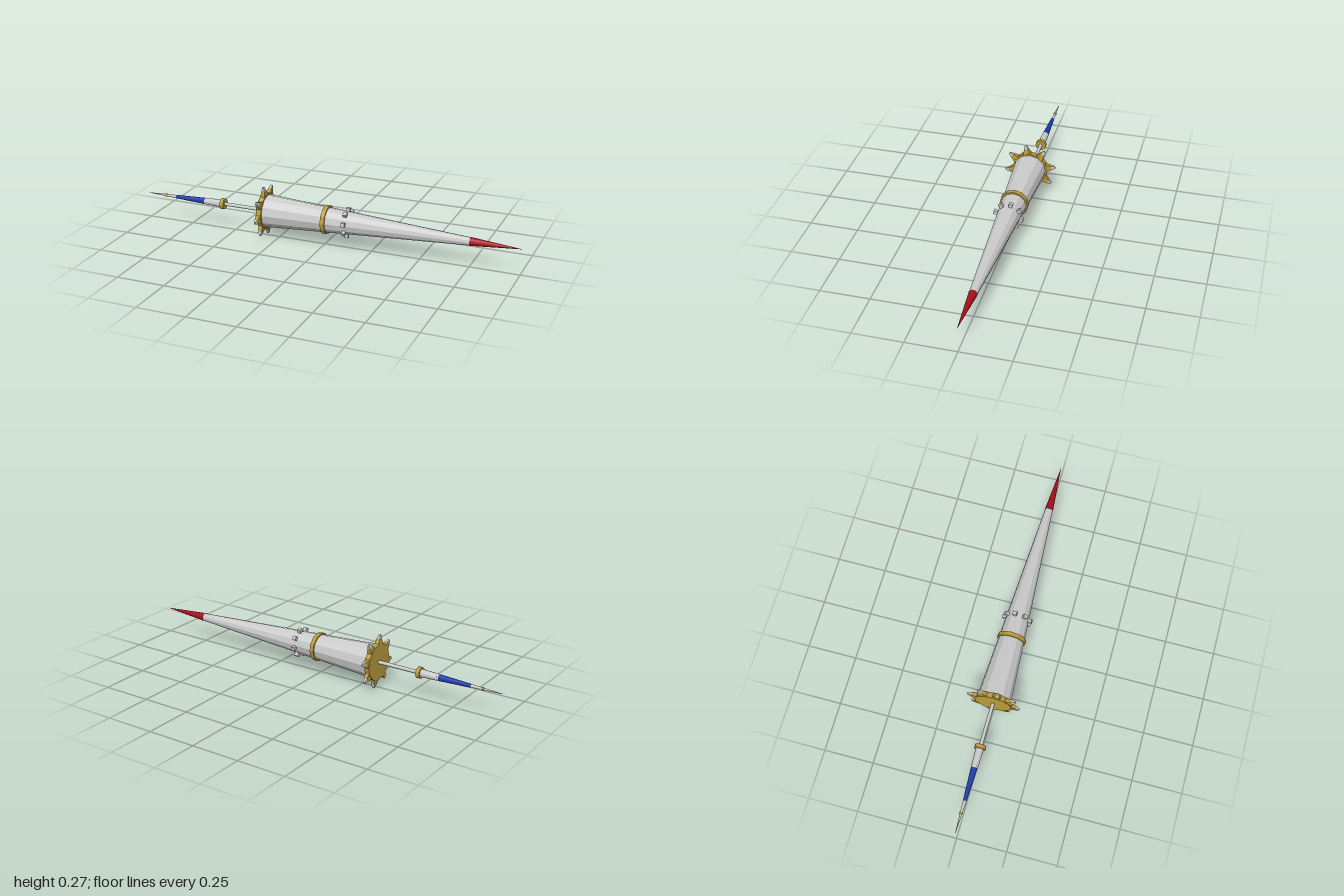
import * as THREE from 'three';

const material = (color) => new THREE.MeshStandardMaterial({ color, flatShading: true });
const grey = material(0xcccccc);
const gold = material(0xb89b3c);
const red = material(0xa50f1c);
const blue = material(0x1c3aa8);

export function createModel() {
  const model = new THREE.Group();
  model.name = 'lance';
  const body = new THREE.Group();
  body.name = 'lanceBody';
  body.position.y = 0.135;
  model.add(body);

  // Round section along x, from x0 (radius r0) to x1 (radius r1)
  function section(name, x0, x1, r0, r1, mat, sides = 12) {
    const geo = new THREE.CylinderGeometry(r1, r0, x1 - x0, sides);
    geo.rotateZ(-Math.PI / 2);
    const mesh = new THREE.Mesh(geo, mat);
    mesh.name = name;
    mesh.position.x = (x0 + x1) / 2;
    body.add(mesh);
  }

  // Tapered block rising radially; each end is given as [radius, half x, half z]
  function block(name, [ra, xa, za], [rb, xb, zb], mat) {
    const geo = new THREE.BoxGeometry(2, rb - ra, 2);
    geo.translate(0, (ra + rb) / 2, 0);
    const p = geo.attributes.position;
    const middle = (ra + rb) / 2;
    for (let i = 0; i < p.count; i++) {
      const outer = p.getY(i) > middle;
      p.setX(i, p.getX(i) * (outer ? xb : xa));
      p.setZ(i, p.getZ(i) * (outer ? zb : za));
    }
    geo.computeVertexNormals();
    const mesh = new THREE.Mesh(geo, mat);
    mesh.name = name;
    return mesh;
  }

  // Eight copies of a group of blocks around the axis
  function ringOf(name, x, offset, makeParts) {
    for (let i = 0; i < 8; i++) {
      const g = new THREE.Group();
      g.name = name;
      g.position.x = x;
      g.rotation.x = offset + (i * Math.PI) / 4;
      g.add(...makeParts());
      body.add(g);
    }
  }

  // Long cone, coloured point and band
  section('cone', -0.325, 0.755, 0.085, 0.02, grey);
  section('point', 0.75, 1.0, 0.0215, 0.0005, red);
  section('coneBand', 0.0, 0.022, 0.073, 0.072, gold);

  // Studs around the cone
  const tilt = THREE.MathUtils.degToRad(10.7);
  ringOf('stud', 0.122, -tilt, () => [
    block('studBlock', [0.052, 0.008, 0.008], [0.076, 0.01, 0.0105], grey),
  ]);

  // Guard disc with spikes
  section('guardDisc', -0.339, -0.312, 0.093, 0.093, gold);
  ringOf('guardSpike', -0.3255, tilt, () => [
    block('spikeBase', [0.075, 0.0135, 0.025], [0.116, 0.008, 0.0105], gold),
    block('spikeTip', [0.116, 0.008, 0.0105], [0.134, 0.004, 0.006], grey),
  ]);

  // Handle, collar and tapering tail
  section('handle', -0.56, -0.33, 0.009, 0.009, grey);
  section('collar', -0.577, -0.557, 0.028, 0.028, gold);
  section('grip', -0.665, -0.572, 0.017, 0.02, grey);
  section('gripEnd', -0.678, -0.66, 0.0155, 0.0165, grey);
  section('tailSleeve', -0.84, -0.673, 0.009, 0.0165, blue);
  section('tail', -1.0, -0.838, 0.0015, 0.0085, grey);
  section('tailRing', -0.906, -0.896, 0.0085, 0.0085, gold);

  return model;
}
